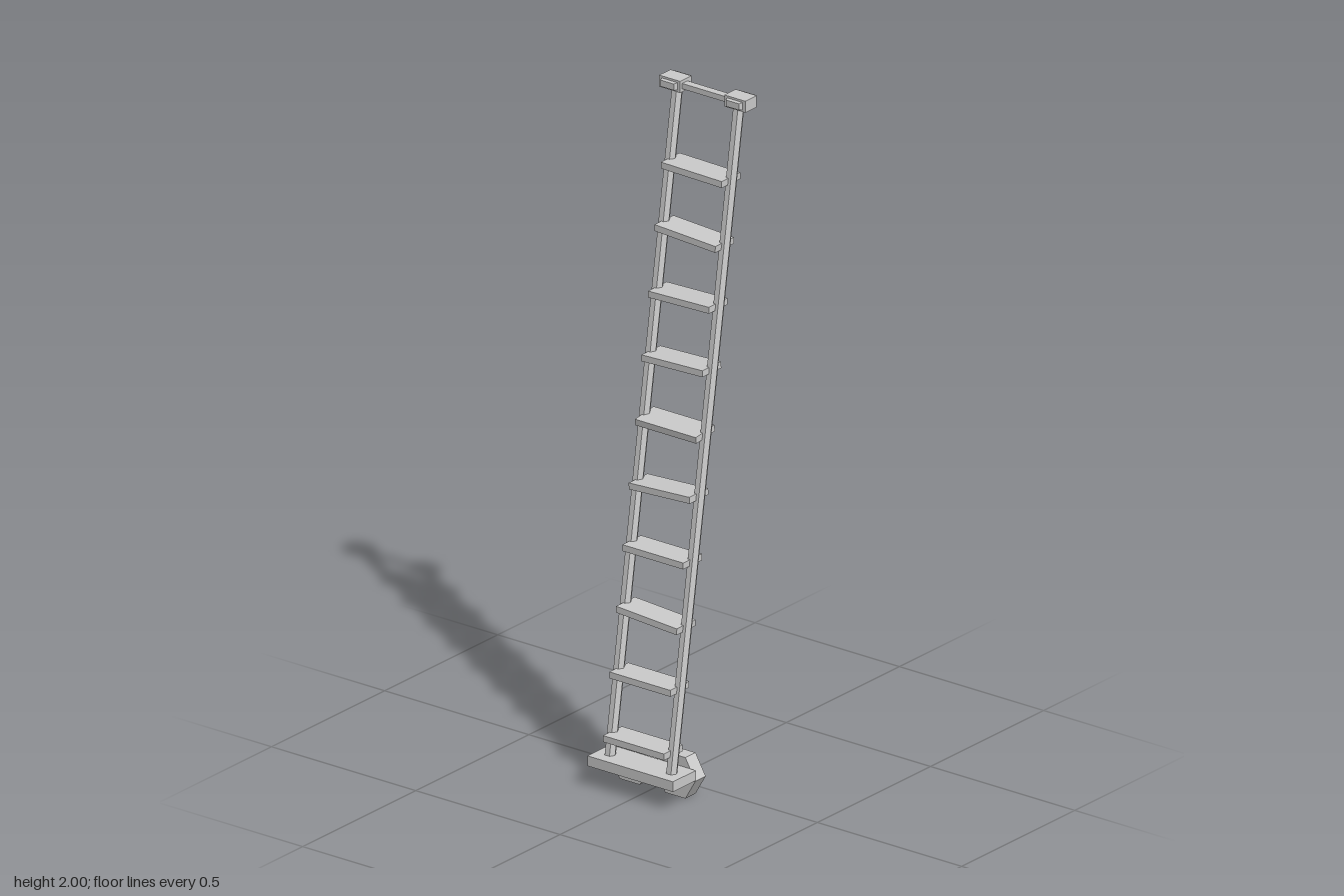
import * as THREE from 'three';

export function createModel() {
  const model = new THREE.Group();
  const mat = new THREE.MeshStandardMaterial({ color: 0xcccccc, flatShading: true });

  function add(name, geometry, x = 0, y = 0, z = 0) {
    const mesh = new THREE.Mesh(geometry, mat);
    mesh.name = name;
    mesh.position.set(x, y, z);
    model.add(mesh);
    return mesh;
  }

  // Box whose back (-z) and front (+z) faces can be scaled in width and height
  function taperedBox(w, h, d, back, front = [1, 1]) {
    const g = new THREE.BoxGeometry(w, h, d);
    const p = g.attributes.position;
    for (let i = 0; i < p.count; i++) {
      const [sx, sy] = p.getZ(i) < 0 ? back : front;
      p.setXY(i, p.getX(i) * sx, p.getY(i) * sy);
    }
    g.computeVertexNormals();
    return g;
  }

  // Leaning six-sided side rails
  const foot = new THREE.Vector3(0, 0.085, 0.145);
  const head = new THREE.Vector3(0, 1.982, -0.155);
  const axis = head.clone().sub(foot);
  const middle = foot.clone().add(head).multiplyScalar(0.5);
  for (const [name, x] of [['rightRail', -0.105], ['leftRail', 0.108]]) {
    const g = new THREE.CylinderGeometry(0.0165, 0.0165, axis.length(), 6);
    g.rotateY(Math.PI / 6 + Math.PI / 3 * 0.5 - Math.PI / 6);
    g.rotateY(Math.PI / 3);
    add(name, g, x, middle.y, middle.z)
      .quaternion.setFromUnitVectors(new THREE.Vector3(0, 1, 0), axis.clone().normalize());
  }

  // Flat treads, each nailed on slightly askew
  const roll = [0, 0, -0.06, 0, 0.055, 0, 0.035, 0.03, -0.05, -0.015];
  const pitch = [0, 0, 0, 0, 0, 0.13, 0, 0, 0, 0];
  for (let i = 0; i < 10; i++) {
    const tread = add('tread' + (i + 1), new THREE.BoxGeometry(0.211, 0.019, 0.083),
      0.002, 0.15 + i * 0.179, 0.1365 - i * 0.0284);
    tread.rotation.set(pitch[i], 0, roll[i]);
  }

  // Top crossbar
  add('topBar', new THREE.BoxGeometry(0.19, 0.016, 0.024), 0, 1.983, -0.151);

  // Block caps with bevelled back and a smaller front nub
  for (const [side, x] of [['right', -0.114], ['left', 0.112]]) {
    add(side + 'Cap', new THREE.BoxGeometry(0.073, 0.034, 0.05), x, 1.983, -0.155);
    add(side + 'CapBack', taperedBox(0.073, 0.034, 0.015, [0.66, 0.6]), x, 1.983, -0.1875);
    add(side + 'CapNub', taperedBox(0.054, 0.022, 0.011, [1, 1], [0.85, 0.85]), x, 1.983, -0.1245);
  }

  // Base plate
  add('basePlate', new THREE.BoxGeometry(0.297, 0.03, 0.101), 0.0015, 0.078, 0.1415);

  // Hexagonal feet behind the plate
  for (const [name, x] of [['rightFoot', -0.08], ['leftFoot', 0.078]]) {
    const g = new THREE.CylinderGeometry(0.07, 0.07, 0.045, 6);
    g.rotateY(Math.PI / 2);
    g.rotateX(Math.PI / 2);
    add(name, g, x, 0.0607, 0.0675);
  }

  // Link bar across the back of the feet
  add('footLink', taperedBox(0.17, 0.022, 0.042, [0.8, 1]), 0, 0.061, 0.03);

  return model;
}
